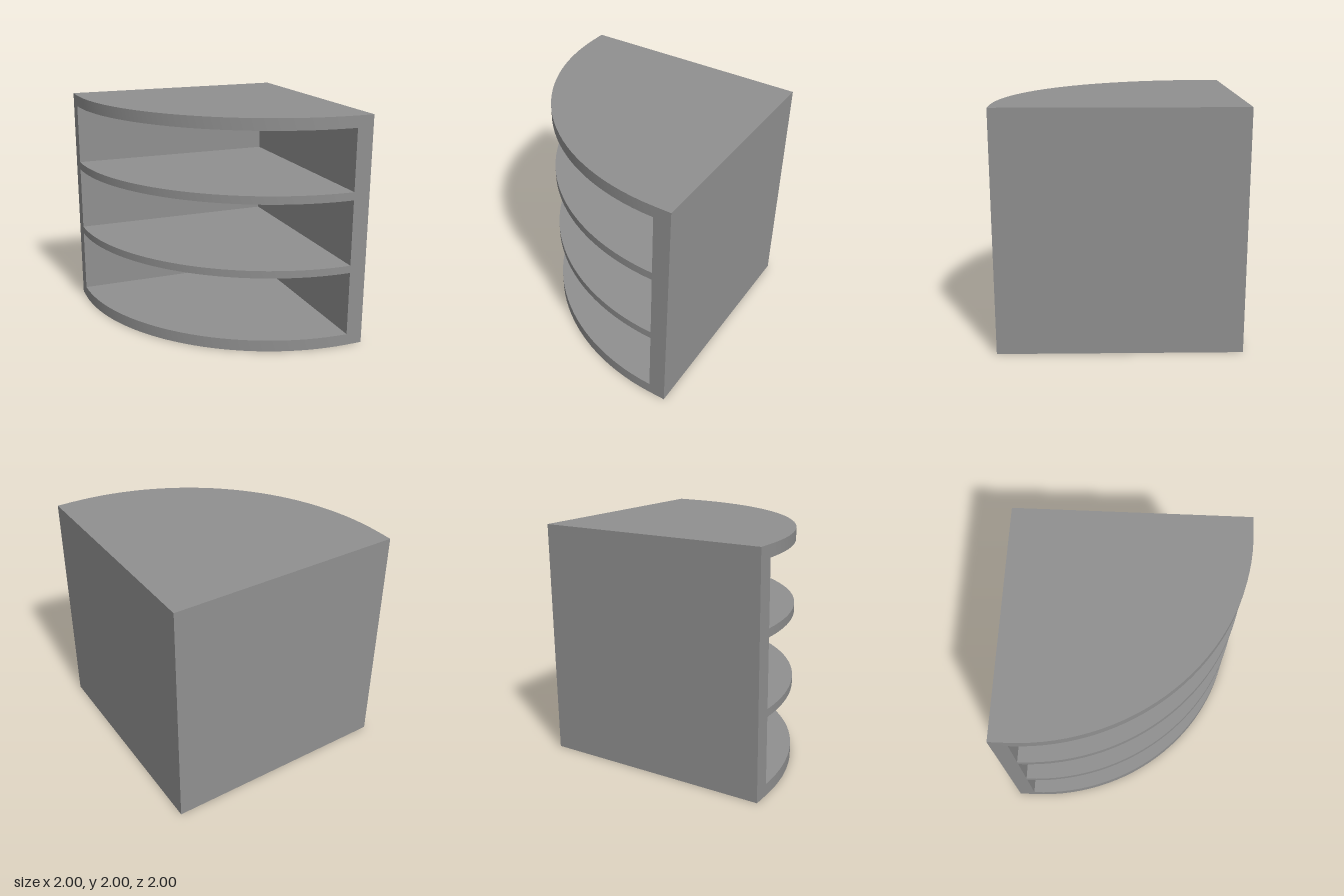
import * as THREE from 'three';
import { toCreasedNormals } from 'three/addons/utils/BufferGeometryUtils.js';

const WALL = 0.145;      // thickness of the two upright panels
const INNER = 1 - WALL;  // inner corner, also the centre of the curved front
const RADIUS = 1 + INNER;

export function createModel() {
  const group = new THREE.Group();
  group.name = 'cornerShelf';
  const material = new THREE.MeshStandardMaterial({ color: 0x909090 });

  // Extrude a plan outline (x, -z) upward from y0 to y1
  function addSlab(name, shape, y0, y1) {
    let geometry = new THREE.ExtrudeGeometry(shape, {
      depth: y1 - y0, bevelEnabled: false, curveSegments: 16,
    });
    geometry.rotateX(-Math.PI / 2);
    geometry.translate(0, y0, 0);
    geometry = toCreasedNormals(geometry, 0.4);
    const mesh = new THREE.Mesh(geometry, material);
    mesh.name = name;
    group.add(mesh);
  }

  // Quarter-round board whose square corner lies at (corner, corner)
  function quarterBoard(corner) {
    const shape = new THREE.Shape();
    shape.moveTo(-1, INNER);
    shape.absarc(INNER, INNER, RADIUS, Math.PI, Math.PI * 1.5, false);
    if (corner > INNER) {
      shape.lineTo(corner, -1);
      shape.lineTo(corner, corner);
      shape.lineTo(-1, corner);
    } else {
      shape.lineTo(INNER, INNER);
    }
    shape.closePath();
    return shape;
  }

  // Base and top cover the walls, middle shelves sit between them
  addSlab('base', quarterBoard(1), 0, 0.1);
  addSlab('lowerShelf', quarterBoard(INNER), 0.665, 0.73);
  addSlab('upperShelf', quarterBoard(INNER), 1.3, 1.37);
  addSlab('top', quarterBoard(1), 1.9, 2);

  // Back and left panels joined as one L-shaped upright
  const walls = new THREE.Shape([
    [-1, INNER], [INNER, INNER], [INNER, -1], [1, -1], [1, 1], [-1, 1],
  ].map(([x, y]) => new THREE.Vector2(x, y)));
  addSlab('cornerWalls', walls, 0.1, 1.9);

  return group;
}
